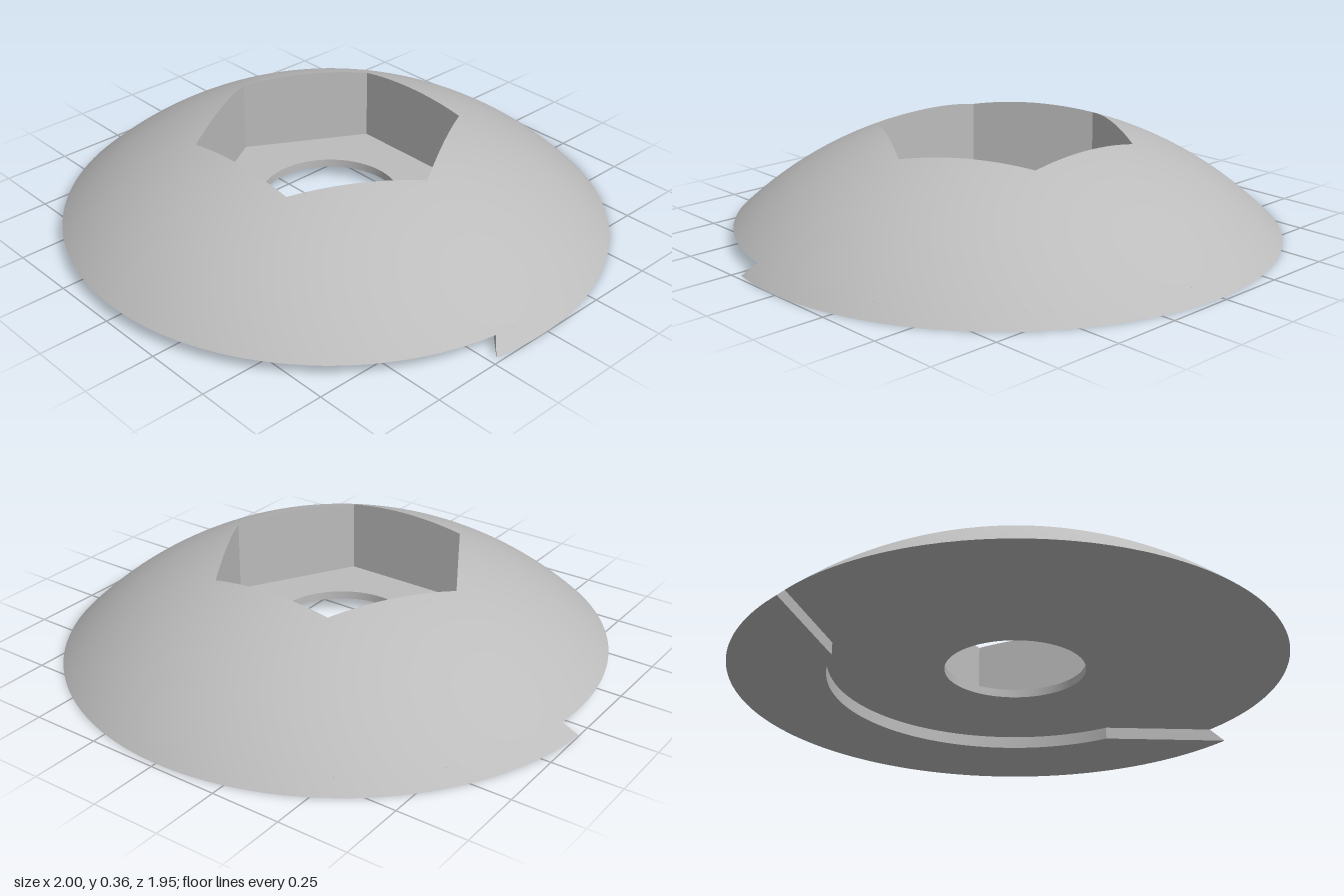
import * as THREE from 'three';

const STEP = 0.045;        // height of the raised lip under the dome
const FLOOR = 0.075;       // pocket floor height
const HOLE = 0.25;         // through hole radius
const RIM = 0.954;         // dome radius at the step
const LIP_IN = 0.66;       // inner radius of the lip
const DEPTH = 0.98;        // sphere centre lies this far below y = 0
const BALL = Math.sqrt(1 + DEPTH * DEPTH);
const RAD = Math.PI / 180;

const lerp = THREE.MathUtils.lerp;
const domeY = r => Math.sqrt(BALL * BALL - r * r) - DEPTH;
const polar = (r, a, y) => [r * Math.cos(a), y, r * Math.sin(a)];

// Grid surface; it faces along dP/du x dP/dv. Spherical ones take the ball's normals.
function surface(nu, nv, fn, spherical = false) {
  const pos = [], idx = [];
  for (let j = 0; j <= nv; j++)
    for (let i = 0; i <= nu; i++) pos.push(...fn(i / nu, j / nv));
  for (let j = 0; j < nv; j++)
    for (let i = 0; i < nu; i++) {
      const a = j * (nu + 1) + i, d = a + nu + 1;
      idx.push(a, a + 1, d + 1, a, d + 1, d);
    }
  const g = new THREE.BufferGeometry();
  g.setAttribute('position', new THREE.Float32BufferAttribute(pos, 3));
  g.setIndex(idx);
  g.computeVertexNormals();
  if (spherical) {
    const n = g.attributes.normal;
    for (let i = 0; i < n.count; i++)
      n.setXYZ(i, pos[3 * i] / BALL, (pos[3 * i + 1] + DEPTH) / BALL, pos[3 * i + 2] / BALL);
  }
  return g;
}

// Hexagon with corners on the x axis
function hexRadius(a) {
  const sector = Math.PI / 3;
  const k = ((a % sector) + sector) % sector;
  return 0.41 / Math.cos(k - sector / 2);
}

// Slanted end of the lip: radius and angle offset at s from inside to outside
const SWEEP = 22.1 * RAD;
const S_RIM = 0.8805;      // where the slanted end meets the dome rim
function slant(s) {
  const x = lerp(LIP_IN, Math.cos(SWEEP), s), z = lerp(0, Math.sin(SWEEP), s);
  return { r: Math.hypot(x, z), da: Math.atan2(z, x) };
}
const LEFT = -10.5 * RAD, RIGHT = -153.5 * RAD;
function lipPoint(t, s, y) {
  const { r, da } = slant(s);
  return polar(r, lerp(RIGHT - da, LEFT + da, t), y ?? domeY(r));
}

export function createModel() {
  const model = new THREE.Group();
  model.name = 'domedWasher';
  const grey = new THREE.MeshStandardMaterial({ color: 0xbcbcbc });
  grey.name = 'plain grey';
  const add = (name, geometry) => {
    const mesh = new THREE.Mesh(geometry, grey);
    mesh.name = name;
    model.add(mesh);
  };
  const TAU = Math.PI * 2;

  // Dome with a hexagonal opening
  add('dome', surface(180, 24, (u, v) => {
    const r = lerp(hexRadius(u * TAU), RIM, v);
    return polar(r, u * TAU, domeY(r));
  }, true));

  // Hexagonal pocket
  for (let i = 0; i < 6; i++) {
    const a0 = i * Math.PI / 3;
    add('pocketWall', surface(30, 1, (u, v) => {
      const a = a0 + u * Math.PI / 3, r = hexRadius(a);
      return polar(r, a, lerp(FLOOR, domeY(r), v));
    }));
  }
  add('pocketFloor', surface(180, 1, (u, v) =>
    polar(lerp(HOLE, hexRadius(u * TAU), v), u * TAU, FLOOR)));

  // Through hole and underside
  add('holeWall', surface(180, 1, (u, v) => polar(HOLE, u * TAU, lerp(STEP, FLOOR, v))));
  add('underside', surface(180, 1, (u, v) => polar(lerp(RIM, HOLE, v), u * TAU, STEP)));

  // Raised lip round the back, with slanted ends
  add('lipBottom', surface(96, 12, (u, v) => lipPoint(u, 1 - v, 0)));
  add('lipSkirt', surface(96, 4, (u, v) => lipPoint(u, lerp(S_RIM, 1, v)), true));
  add('lipInnerWall', surface(96, 1, (u, v) => lipPoint(u, 0, v * STEP)));
  const end = (t, s, v) => lipPoint(t, s * lerp(1, S_RIM, v), v * STEP);
  add('lipLeftEnd', surface(12, 1, (u, v) => end(1, u, v)));
  add('lipRightEnd', surface(12, 1, (u, v) => end(0, 1 - u, v)));

  model.position.z = 0.02;
  return model;
}
